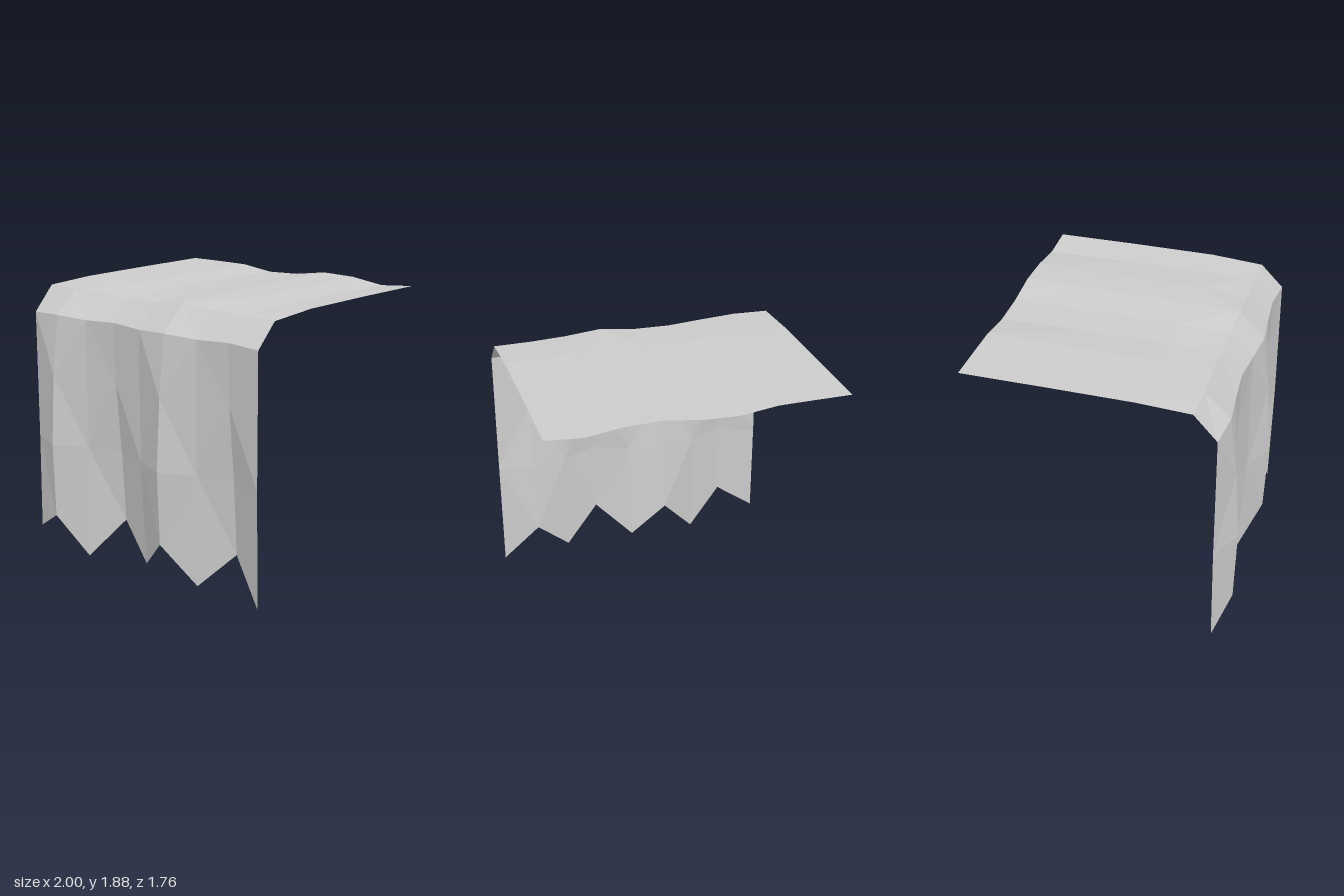
import * as THREE from 'three';

const COLS = 9;
// Fold pattern across the cloth: +1 bulges to the front, -1 tucks to the back.
const FOLD = [0, 1, 0, -1, 0, 1, 0, -1, 0];
// Heights of the gently rippled top at its back edge and at its front crease.
const BACK_Y = [1.87, 1.87, 1.868, 1.836, 1.845, 1.88, 1.874, 1.84, 1.86];
const CREASE_Y = [1.84, 1.845, 1.835, 1.823, 1.826, 1.855, 1.836, 1.83, 1.827];
// Pointed hem.
const HEM_Y = [0.11, 0.26, 0, 0.29, 0.05, 0.28, 0.03, 0.28, 0];
const HEM_Z = [0.78, 0.865, 0.79, 0.67, 0.73, 0.86, 0.77, 0.67, 0.76];

// Rows of the cloth, from the back edge over the crease and down to the hem.
// Each returns [y, z] for a column.
const topRow = (z, base, amp) => (c) => [base + amp * (BACK_Y[c] - 1.86), z];
const hangRow = (y, ridge, valley) => (c) => [
  y + (y > 1.5 ? 0.01 * FOLD[c] * FOLD[c] : 0),
  FOLD[c] > 0 ? ridge : FOLD[c] < 0 ? valley : 0.773,
];
const ROWS = [
  (c) => [BACK_Y[c], -0.88],
  topRow(-0.31, 1.86, 0.65),
  topRow(0.26, 1.855, 0.5),
  (c) => [CREASE_Y[c], 0.618 + 0.006 * FOLD[c]],
  hangRow(1.67, 0.8, 0.755),
  hangRow(1.27, 0.85, 0.745),
  hangRow(0.78, 0.88, 0.7),
  (c) => [HEM_Y[c], HEM_Z[c]],
];

// Facets between rows first..last, with diagonals alternating in a diamond pattern.
function clothPanel(first, last) {
  const positions = [];
  const point = (r, c) => {
    const [y, z] = ROWS[r](c);
    return [-1 + (2 * c) / (COLS - 1), y, z];
  };
  for (let r = first; r < last; r++) {
    for (let c = 0; c < COLS - 1; c++) {
      const a = point(r, c), b = point(r + 1, c);
      const d = point(r, c + 1), e = point(r + 1, c + 1);
      const corners = (r + c) % 2 === 0 ? [a, b, e, a, e, d] : [a, b, d, b, e, d];
      positions.push(...corners.flat());
    }
  }
  const geometry = new THREE.BufferGeometry();
  geometry.setAttribute('position', new THREE.Float32BufferAttribute(positions, 3));
  geometry.computeVertexNormals();
  return geometry;
}

export function createModel() {
  const group = new THREE.Group();
  group.name = 'drapedCloth';

  const cloth = new THREE.MeshStandardMaterial({
    color: 0xcccccc,
    flatShading: true,
    side: THREE.DoubleSide,
  });
  cloth.name = 'light grey cloth';

  // Flat top, sloping edge and pleated hanging front
  const panels = { clothTop: [0, 3], clothEdge: [3, 4], hangingFront: [4, 7] };
  for (const [name, [first, last]] of Object.entries(panels)) {
    const mesh = new THREE.Mesh(clothPanel(first, last), cloth);
    mesh.name = name;
    group.add(mesh);
  }
  return group;
}
